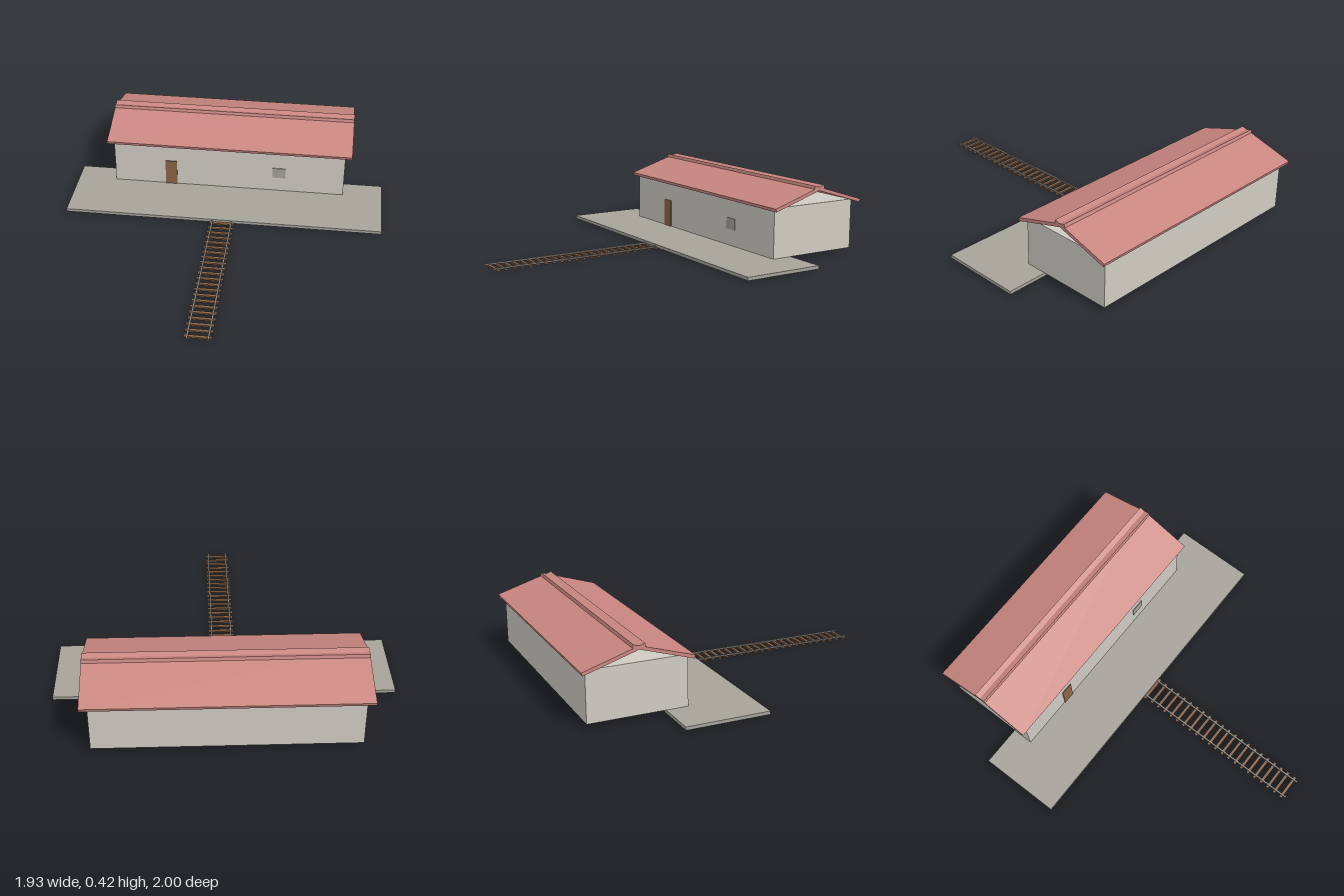
import * as THREE from 'three';

const paint = (name, color) => {
  const m = new THREE.MeshStandardMaterial({ color });
  m.name = name;
  return m;
};

export function createModel() {
  const wall = paint('plaster', 0xcfccc3);
  const stone = paint('platformGrey', 0xa5a39a);
  const tile = paint('roofRed', 0xc98680);
  const wood = paint('wood', 0x8c6546);
  const steel = paint('railGrey', 0x8c8a85);

  const station = new THREE.Group();
  station.name = 'railwayStation';

  // Box given by its min and max corners
  const box = (name, material, [x0, y0, z0], [x1, y1, z1], parent = station) => {
    const mesh = new THREE.Mesh(new THREE.BoxGeometry(x1 - x0, y1 - y0, z1 - z0), material);
    mesh.position.set((x0 + x1) / 2, (y0 + y1) / 2, (z0 + z1) / 2);
    mesh.name = name;
    parent.add(mesh);
    return mesh;
  };

  // Platform and building
  box('platform', stone, [-0.963, 0.006, -0.53], [0.963, 0.025, -0.047]);
  box('walls', wall, [-0.722, 0.026, -0.967], [0.722, 0.315, -0.405]);
  box('door', wood, [-0.4, 0.026, -0.408], [-0.327, 0.193, -0.4]);
  box('window', stone, [0.277, 0.123, -0.408], [0.358, 0.191, -0.4]);

  // Two sloping roof slabs that cross at the ridge, open at the gables
  for (const side of [1, -1]) {
    const slab = new THREE.Mesh(new THREE.BoxGeometry(1.526, 0.0193, 0.357), tile);
    slab.position.set(0, 0.363, -0.6905 + side * 0.136);
    slab.rotation.x = side * 0.3;
    slab.name = side > 0 ? 'frontRoof' : 'backRoof';
    station.add(slab);
  }

  // Track running under the platform
  const track = new THREE.Group();
  track.name = 'track';
  station.add(track);
  for (const x of [-0.058, 0.058]) {
    box('rail', steel, [x - 0.005, 0.007, -0.927], [x + 0.005, 0.016, 1], track);
  }
  for (let i = 0; i < 40; i++) {
    const z = 0.974 - i * 0.0482;
    box('sleeper', wood, [-0.077, 0, z - 0.0085], [0.077, 0.0096, z + 0.0085], track);
  }
  return station;
}
